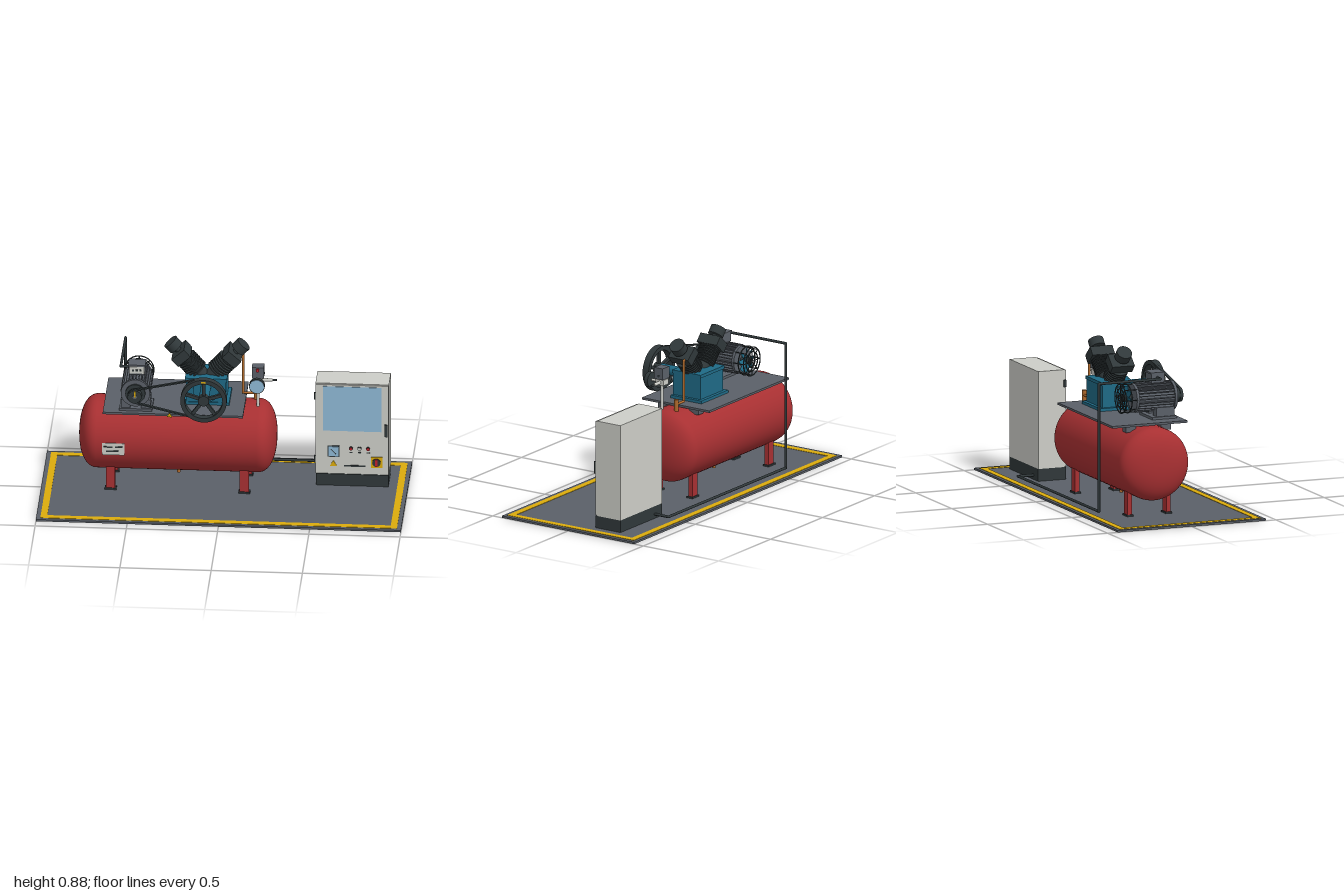
import * as THREE from 'three';
import { toCreasedNormals } from 'three/addons/utils/BufferGeometryUtils.js';

const mat = (name, color) => {
  const m = new THREE.MeshStandardMaterial({ color });
  m.name = name;
  return m;
};

export function createModel() {
  const model = new THREE.Group();
  model.name = 'airCompressorStation';
  const red = mat('tank red', 0xa83032), steel = mat('steel grey', 0x5a6068), dark = mat('charcoal', 0x30383a);
  const teal = mat('pump teal', 0x1f6a86), yellow = mat('safety yellow', 0xdcac0c), light = mat('light grey', 0xcdcec8);
  const glass = mat('pale blue glass', 0x8fb9d6), copper = mat('copper', 0xb06a2c), signal = mat('signal red', 0xc0202a);

  const add = (name, geo, m, pos = [0, 0, 0], parent = model) => {
    const mesh = new THREE.Mesh(geo, m);
    mesh.name = name;
    mesh.position.set(...pos);
    parent.add(mesh);
    return mesh;
  };
  // Box given by its low and high limits on each axis
  const box = (name, m, [x0, x1], [y0, y1], [z0, z1], parent) =>
    add(name, new THREE.BoxGeometry(x1 - x0, y1 - y0, z1 - z0), m,
      [(x0 + x1) / 2, (y0 + y1) / 2, (z0 + z1) / 2], parent);
  // Round bar between two points
  const rod = (name, m, a, b, r, parent, sides = 24) => {
    const A = new THREE.Vector3(...a), d = new THREE.Vector3(...b).sub(A);
    const mesh = add(name, new THREE.CylinderGeometry(r, r, d.length(), sides), m,
      A.clone().addScaledVector(d, 0.5).toArray(), parent);
    mesh.quaternion.setFromUnitVectors(new THREE.Vector3(0, 1, 0), d.normalize());
    return mesh;
  };
  // Pipe of straight runs with round elbows
  const pipe = (name, m, pts, r) => {
    const g = new THREE.Group();
    g.name = name;
    model.add(g);
    pts.slice(1).forEach((p, i) => {
      rod(name + 'Run', m, pts[i], p, r, g, 14);
      if (i < pts.length - 2) add(name + 'Elbow', new THREE.SphereGeometry(r, 14, 10), m, p, g);
    });
  };
  const extrude = (shape, depth, curveSegments = 40) =>
    toCreasedNormals(new THREE.ExtrudeGeometry(shape, { depth, bevelEnabled: false, curveSegments }), 0.6);
  const ring = (R, r, depth) => {
    const s = new THREE.Shape().absarc(0, 0, R, 0, Math.PI * 2);
    s.holes.push(new THREE.Path().absarc(0, 0, r, 0, Math.PI * 2, true));
    return extrude(s, depth);
  };
  const triangle = (name, x, y, z, s) => add(name, extrude(new THREE.Shape([
    new THREE.Vector2(-s, -s * 0.8), new THREE.Vector2(s, -s * 0.8), new THREE.Vector2(0, s * 0.9)]), 0.004), yellow, [x, y, z]);

  // Floor pad with yellow border
  box('floorPad', steel, [-1, 1], [0, 0.011], [-0.44, 0.44]);
  for (const s of [-1, 1]) {
    box('borderLong', yellow, [-0.977, 0.977], [0.009, 0.013], s < 0 ? [-0.42, -0.384] : [0.384, 0.42]);
    box('borderShort', yellow, s < 0 ? [-0.977, -0.941] : [0.941, 0.977], [0.009, 0.013], [-0.384, 0.384]);
  }

  // Tank with domed ends
  const R = 0.203, half = 0.44, dome = 0.102, profile = [];
  for (const s of [-1, 1]) for (let i = 0; i <= 12; i++) {
    const a = (s < 0 ? i : 12 - i) / 12 * Math.PI / 2;
    profile.push(new THREE.Vector2(R * Math.pow(Math.sin(a), 0.9), s * (half + dome * Math.pow(Math.cos(a), 0.9))));
  }
  add('tank', new THREE.LatheGeometry(profile, 64), red, [-0.257, 0.305, -0.102]).rotation.z = -Math.PI / 2;
  // Legs, feet and plate supports
  for (const x of [-0.62, 0.113]) for (const z of [0.013, -0.217]) {
    box('leg', red, [x - 0.025, x + 0.025], [0.018, 0.17], [z - 0.013, z + 0.013]);
    box('foot', dark, [x - 0.032, x + 0.032], [0.011, 0.02], [z - 0.019, z + 0.019]);
  }
  for (const x of [-0.61, 0.065]) for (const z of [0.002, -0.206])
    box('plateSupport', steel, [x - 0.024, x + 0.024], [0.475, 0.512], [z - 0.03, z + 0.03]);
  rod('drainValve', copper, [-0.255, 0.068, -0.102], [-0.255, 0.11, -0.102], 0.009);
  // Data plate with plain bars
  box('dataPlate', light, [-0.662, -0.538], [0.255, 0.325], [0.098, 0.104]);
  for (const [x, w, y] of [[-0.628, 0.05, 0.303], [-0.57, 0.04, 0.303], [-0.605, 0.07, 0.278]])
    box('dataPlateBar', dark, [x - w / 2, x + w / 2], [y - 0.004, y + 0.004], [0.1, 0.106]);

  // Mounting plate
  box('mountingPlate', steel, [-0.656, 0.112], [0.509, 0.521], [-0.325, 0.122]);
  triangle('plateWarning', -0.29, 0.516, 0.121, 0.015);

  // Motor
  const motor = new THREE.Group();
  motor.name = 'motor';
  motor.position.set(-0.478, 0.635, 0);
  model.add(motor);
  rod('motorBody', steel, [0, 0, -0.13], [0, 0, 0.1], 0.07, motor, 40);
  rod('frontBell', steel, [0, 0, 0.092], [0, 0, 0.108], 0.08, motor, 40);
  rod('frontCap', dark, [0, 0, 0.108], [0, 0, 0.118], 0.055, motor, 40);
  rod('rearBell', steel, [0, 0, -0.135], [0, 0, -0.12], 0.08, motor, 40);
  for (let i = 0; i < 28; i++) {
    const a = i / 28 * Math.PI * 2;
    const f = add('motorFin', new THREE.BoxGeometry(0.016, 0.005, 0.205), steel,
      [Math.cos(a) * 0.075, Math.sin(a) * 0.075, -0.015], motor);
    f.rotation.z = a;
  }
  for (const s of [-1, 1]) box('motorFoot', steel, s < 0 ? [-0.08, -0.03] : [0.03, 0.08], [-0.115, -0.05], [-0.02, 0.085], motor);
  box('motorBase', steel, [-0.09, 0.09], [-0.115, -0.1], [-0.05, 0.095], motor);
  box('terminalBox', steel, [-0.04, 0.046], [0.08, 0.134], [-0.034, 0.04], motor);
  box('terminalLid', steel, [-0.045, 0.05], [0.13, 0.139], [-0.038, 0.044], motor);
  box('terminalLabel', light, [-0.038, 0.044], [0.088, 0.128], [0.039, 0.043], motor);
  for (const x of [-0.018, 0.003, 0.024]) box('terminalMark', dark, [x - 0.006, x + 0.006], [0.102, 0.112], [0.041, 0.045], motor);
  // Fan and its wire guard
  rod('fanHub', dark, [0, 0, -0.19], [0, 0, -0.13], 0.018, motor);
  for (let i = 0; i < 8; i++) {
    const a = i / 8 * Math.PI * 2, c = Math.cos(a), s = Math.sin(a);
    const blade = add('fanBlade', new THREE.BoxGeometry(0.052, 0.026, 0.004), teal, [c * 0.042, s * 0.042, -0.165], motor);
    blade.rotation.set(0, 0, a);
    blade.rotateX(0.5);
    rod('guardStrut', dark, [c * 0.078, s * 0.078, -0.125], [c * 0.078, s * 0.078, -0.2], 0.003, motor, 8);
    rod('guardSpoke', dark, [0, 0, -0.2], [c * 0.078, s * 0.078, -0.2], 0.0025, motor, 8);
  }
  for (const [r, z] of [[0.08, -0.2], [0.055, -0.2], [0.03, -0.2], [0.08, -0.165]])
    add('guardRing', new THREE.TorusGeometry(r, 0.0035, 8, 40), dark, [0, 0, z], motor);
  // Motor pulley
  rod('motorShaft', steel, [0, 0, 0.11], [0, 0, 0.16], 0.012, motor);
  rod('motorPulley', dark, [0, 0, 0.125], [0, 0, 0.157], 0.037, motor, 32);
  box('pulleyArrow', yellow, [-0.005, 0.005], [0.0, 0.033], [0.155, 0.161], motor);

  // Flywheel with five spokes
  const wheel = new THREE.Group();
  wheel.name = 'flywheel';
  wheel.position.set(-0.1, 0.63, 0.137);
  model.add(wheel);
  add('flywheelRim', ring(0.127, 0.103, 0.04), dark, [0, 0, 0], wheel);
  rod('flywheelHub', dark, [0, 0, 0], [0, 0, 0.04], 0.03, wheel);
  for (let i = 0; i < 5; i++) {
    const a = Math.PI / 2 + i / 5 * Math.PI * 2;
    add('flywheelSpoke', new THREE.BoxGeometry(0.085, 0.018, 0.018), dark,
      [Math.cos(a) * 0.066, Math.sin(a) * 0.066, 0.02], wheel).rotation.z = a;
  }
  box('flywheelArrow', yellow, [-0.012, 0.012], [0.109, 0.119], [0.038, 0.043], wheel);

  // Drive belt around both pulleys
  const from = new THREE.Vector2(-0.478, 0.635), to = new THREE.Vector2(-0.1, 0.63);
  const beltLoop = (path, inset) => {
    const r1 = 0.041 - inset, r2 = 0.126 - inset, d = to.clone().sub(from);
    const a = Math.atan2(d.y, d.x), phi = Math.acos((r1 - r2) / d.length());
    path.absarc(from.x, from.y, r1, a + phi, a - phi + Math.PI * 2);
    path.absarc(to.x, to.y, r2, a - phi, a + phi);
    return path.closePath() ?? path;
  };
  const belt = beltLoop(new THREE.Shape(), 0);
  belt.holes.push(beltLoop(new THREE.Path(), 0.008));
  add('driveBelt', extrude(belt, 0.016), dark, [0, 0, 0.139]);

  // Crankcase
  box('crankcase', teal, [-0.21, 0.01], [0.53, 0.675], [-0.195, -0.015]);
  box('crankcaseBase', teal, [-0.23, 0.028], [0.521, 0.537], [-0.215, -0.01]);
  box('crankcaseTop', teal, [-0.215, 0.015], [0.66, 0.678], [-0.2, -0.012]);
  rod('frontBearingCover', teal, [-0.1, 0.61, -0.016], [-0.1, 0.61, 0.0], 0.07, model, 40);
  rod('shaftHousing', teal, [-0.1, 0.632, -0.015], [-0.1, 0.632, 0.14], 0.028);

  // Two finned cylinders in a V, with heads and air filters
  for (const s of [-1, 1]) {
    const bank = new THREE.Group();
    bank.name = s < 0 ? 'rightCylinder' : 'leftCylinder';
    bank.position.set(-0.1, 0.63, -0.102);
    bank.rotation.z = -s * 0.73;
    model.add(bank);
    rod('barrel', dark, [0, 0.03, 0], [0, 0.19, 0], 0.042, bank, 32);
    for (let i = 0; i < 7; i++) rod('coolingFin', dark, [0, 0.078 + i * 0.015, 0], [0, 0.084 + i * 0.015, 0], 0.06, bank, 32);
    box('cylinderHead', dark, [-0.046, 0.046], [0.18, 0.235], [-0.066, 0.066], bank);
    rod('filterNeck', dark, [0, 0.23, 0], [0, 0.26, 0], 0.018, bank);
    rod('airFilter', dark, [0, 0.254, 0], [0, 0.302, 0], 0.043, bank, 32);
  }

  // Copper delivery pipe and check valve
  pipe('deliveryPipe', copper, [[0.05, 0.772, -0.143], [0.095, 0.772, -0.143], [0.095, 0.54, -0.143],
    [0.165, 0.54, -0.143]], 0.007);
  rod('checkValve', copper, [0.165, 0.48, -0.143], [0.165, 0.568, -0.143], 0.012);

  // Pressure manifold, gauge and switch
  rod('manifoldRiser', light, [0.182, 0.49, -0.06], [0.182, 0.65, -0.06], 0.009);
  box('manifoldBlock', light, [0.157, 0.207], [0.645, 0.676], [-0.085, -0.035]);
  rod('gaugeStem', light, [0.182, 0.66, -0.04], [0.182, 0.66, 0.01], 0.007);
  rod('gaugeCase', dark, [0.182, 0.66, 0.007], [0.182, 0.66, 0.03], 0.043, model, 36);
  rod('gaugeFace', glass, [0.182, 0.66, 0.028], [0.182, 0.66, 0.033], 0.039, model, 36);
  rod('outletStub', light, [0.2, 0.66, -0.06], [0.262, 0.66, -0.06], 0.009);
  rod('outletTip', dark, [0.26, 0.66, -0.06], [0.285, 0.66, -0.06], 0.006);
  box('pressureSwitch', steel, [0.15, 0.216], [0.68, 0.745], [-0.087, -0.031]);
  rod('switchButton', signal, [0.182, 0.731, -0.033], [0.182, 0.731, -0.02], 0.009);
  rod('switchPort', dark, [0.214, 0.7, -0.06], [0.219, 0.7, -0.06], 0.007);

  // Control cabinet
  box('plinth', dark, [0.495, 0.893], [0.011, 0.08], [-0.275, -0.11]);
  box('cabinetBody', light, [0.493, 0.895], [0.08, 0.622], [-0.275, -0.121]);
  box('cabinetDoor', light, [0.495, 0.893], [0.083, 0.619], [-0.119, -0.109]);
  box('doorSeal', dark, [0.5, 0.888], [0.088, 0.614], [-0.122, -0.118]);
  box('doorWindow', glass, [0.535, 0.855], [0.342, 0.609], [-0.112, -0.106]);
  for (const y of [0.545, 0.165]) box('hinge', dark, [0.486, 0.496], [y - 0.02, y + 0.02], [-0.125, -0.11]);
  box('doorHandle', dark, [0.873, 0.889], [0.317, 0.387], [-0.11, -0.097]);
  box('meterFrame', dark, [0.559, 0.626], [0.185, 0.252], [-0.11, -0.105]);
  box('meterFace', glass, [0.564, 0.621], [0.19, 0.247], [-0.108, -0.103]);
  const needle = box('meterNeedle', dark, [0.59, 0.594], [0.198, 0.238], [-0.105, -0.102]);
  needle.rotation.z = 0.7;
  [0.688, 0.735, 0.782].forEach((x, i) => {
    rod('lampBezel', dark, [x, 0.238, -0.11], [x, 0.238, -0.103], 0.011);
    rod('lamp', i === 1 ? light : signal, [x, 0.238, -0.105], [x, 0.238, -0.098], 0.008);
    box('lampPlate', dark, [x - 0.009, x + 0.009], [0.211, 0.217], [-0.11, -0.106]);
  });
  triangle('cabinetWarning', 0.592, 0.145, -0.11, 0.02);
  box('namePlate', dark, [0.65, 0.768], [0.128, 0.137], [-0.11, -0.106]);
  box('mainSwitchPlate', yellow, [0.797, 0.86], [0.127, 0.19], [-0.11, -0.103]);
  rod('mainSwitchDial', dark, [0.828, 0.159, -0.105], [0.828, 0.159, -0.097], 0.023);
  box('mainSwitchKnob', signal, [0.821, 0.835], [0.138, 0.18], [-0.1, -0.09]);

  // Cable conduit from the motor to the cabinet
  pipe('conduit', dark, [[-0.51, 0.745, 0], [-0.565, 0.745, 0], [-0.565, 0.745, -0.366], [-0.565, 0.035, -0.366],
    [0.563, 0.035, -0.366], [0.563, 0.035, -0.27]], 0.0075);

  return model;
}
